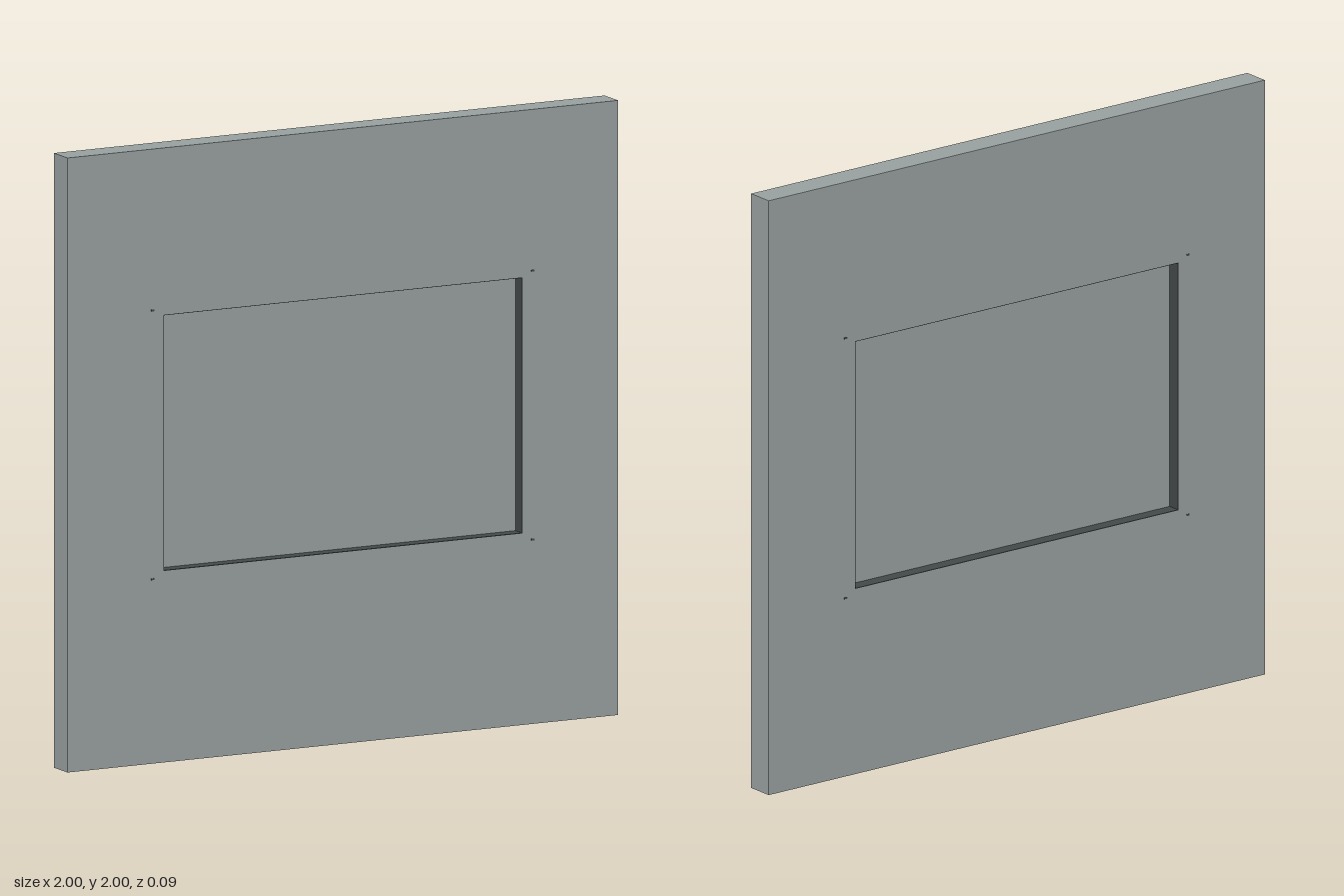
import * as THREE from 'three';

const HALF_DEPTH = 0.046;
const OPENING = { x: 0.65, bottom: 0.625, top: 1.455 };

// Rectangle outline, grown outward from the opening by a margin
function openingPoints(margin) {
  const x = OPENING.x + margin;
  const b = OPENING.bottom - margin, t = OPENING.top + margin;
  return [[-x, b], [x, b], [x, t], [-x, t]].map(([px, py]) => new THREE.Vector2(px, py));
}

// Extrudes an outline with one hole, centred on z = 0
function holedSlab(outline, hole, depth) {
  const shape = new THREE.Shape(outline);
  shape.holes.push(new THREE.Path(hole));
  const geometry = new THREE.ExtrudeGeometry(shape, { depth, bevelEnabled: false });
  geometry.translate(0, 0, -depth / 2);
  return geometry;
}

export function createModel() {
  const wallGrey = new THREE.MeshStandardMaterial({ color: 0x98a0a0 });
  wallGrey.name = 'wallGrey';
  const frameDark = new THREE.MeshStandardMaterial({ color: 0x434848 });
  frameDark.name = 'frameDark';

  const model = new THREE.Group();
  model.name = 'windowWall';
  const add = (name, geometry, material, x = 0, y = 0, z = 0) => {
    const mesh = new THREE.Mesh(geometry, material);
    mesh.name = name;
    mesh.position.set(x, y, z);
    model.add(mesh);
  };

  // Square wall panel with a window opening
  const square = [[-1, 0], [1, 0], [1, 2], [-1, 2]].map(([x, y]) => new THREE.Vector2(x, y));
  add('wall', holedSlab(square, openingPoints(0.002), HALF_DEPTH * 2), wallGrey);

  // Dark lining of the opening
  add('windowFrame', holedSlab(openingPoints(0.002), openingPoints(0), HALF_DEPTH * 2), frameDark);

  // Thin pane halfway through the wall
  const height = OPENING.top - OPENING.bottom;
  add('pane', new THREE.BoxGeometry(OPENING.x * 2, height, 0.004), wallGrey,
    0, OPENING.bottom + height / 2, 0);

  // Tiny fixings off each corner, on both faces
  const fixing = new THREE.BoxGeometry(0.012, 0.006, 0.002);
  for (const x of [-0.69, 0.69])
    for (const y of [0.6, 1.475])
      for (const side of [-1, 1])
        add('cornerFixing', fixing, frameDark, x, y, side * HALF_DEPTH);

  return model;
}
